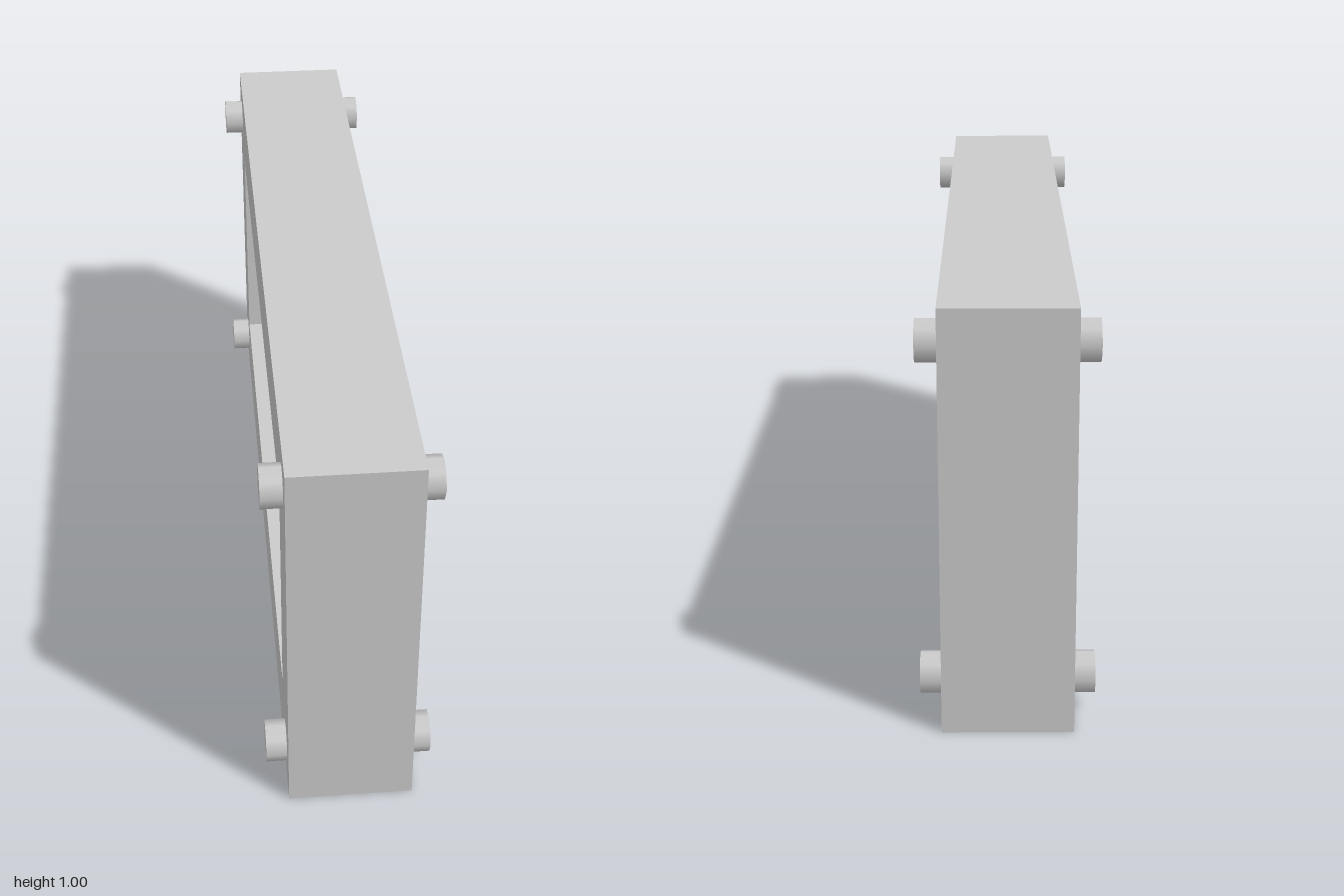
import * as THREE from 'three';

const material = new THREE.MeshStandardMaterial({ color: 0xcccccc });
const MID = 0.5; // height of the block's centre line

function addMesh(parent, name, geometry) {
  const mesh = new THREE.Mesh(geometry, material);
  mesh.name = name;
  parent.add(mesh);
  return mesh;
}

// Closed outline from [along, up] points
const outline = (points, along = 0, Type = THREE.Path) =>
  new Type(points.map(([u, v]) => new THREE.Vector2(u + along, v + MID)));

const rectangle = (halfLength, halfHeight) => [
  [-halfLength, -halfHeight], [halfLength, -halfHeight],
  [halfLength, halfHeight], [-halfLength, halfHeight],
];

// Upright slab with holes, its thickness centred on x = 0
function slab(halfLength, halfHeight, thickness, holes) {
  const shape = outline(rectangle(halfLength, halfHeight), 0, THREE.Shape);
  shape.holes.push(...holes);
  return new THREE.ExtrudeGeometry(shape, { depth: thickness, bevelEnabled: false })
    .translate(0, 0, -thickness / 2)
    .rotateY(Math.PI / 2);
}

export function createModel() {
  const group = new THREE.Group();
  group.name = 'decorativeBlock';

  // Outer frame with its rectangular opening
  addMesh(group, 'frame', slab(1, 0.5, 0.3, [outline(rectangle(0.8, 0.3))]));

  // Recessed panel: lens cut-outs between flared, waisted cut-outs
  const lens = [
    [0, -0.155], [0.03, -0.11], [0.05, 0], [0.03, 0.11],
    [0, 0.155], [-0.03, 0.11], [-0.05, 0], [-0.03, -0.11],
  ];
  const flare = [[0.001, 0.01], [0.04, 0.19], [0.1, 0.285], [0, 0.3], [-0.1, 0.285], [-0.04, 0.19], [-0.001, 0.01]];
  const flareDown = flare.map(([u, v]) => [u, -v]);
  const holes = [];
  for (const z of [-0.75, -0.25, 0.25, 0.75]) holes.push(outline(lens, z));
  for (const z of [-0.5, 0, 0.5]) holes.push(outline(flare, z), outline(flareDown, z));
  addMesh(group, 'patternPanel', slab(0.85, 0.35, 0.2, holes));

  // Solid core closing the cut-outs half way in
  addMesh(group, 'core', new THREE.BoxGeometry(0.1, 0.68, 1.68)).position.y = MID;

  // Corner pegs standing out on both faces
  const peg = new THREE.CylinderGeometry(0.05, 0.05, 0.1, 8).rotateZ(Math.PI / 2);
  for (const x of [-0.15, 0.15])
    for (const y of [0.1, 0.9])
      for (const z of [-0.9, 0.9]) addMesh(group, 'cornerPeg', peg).position.set(x, y, z);

  return group;
}
